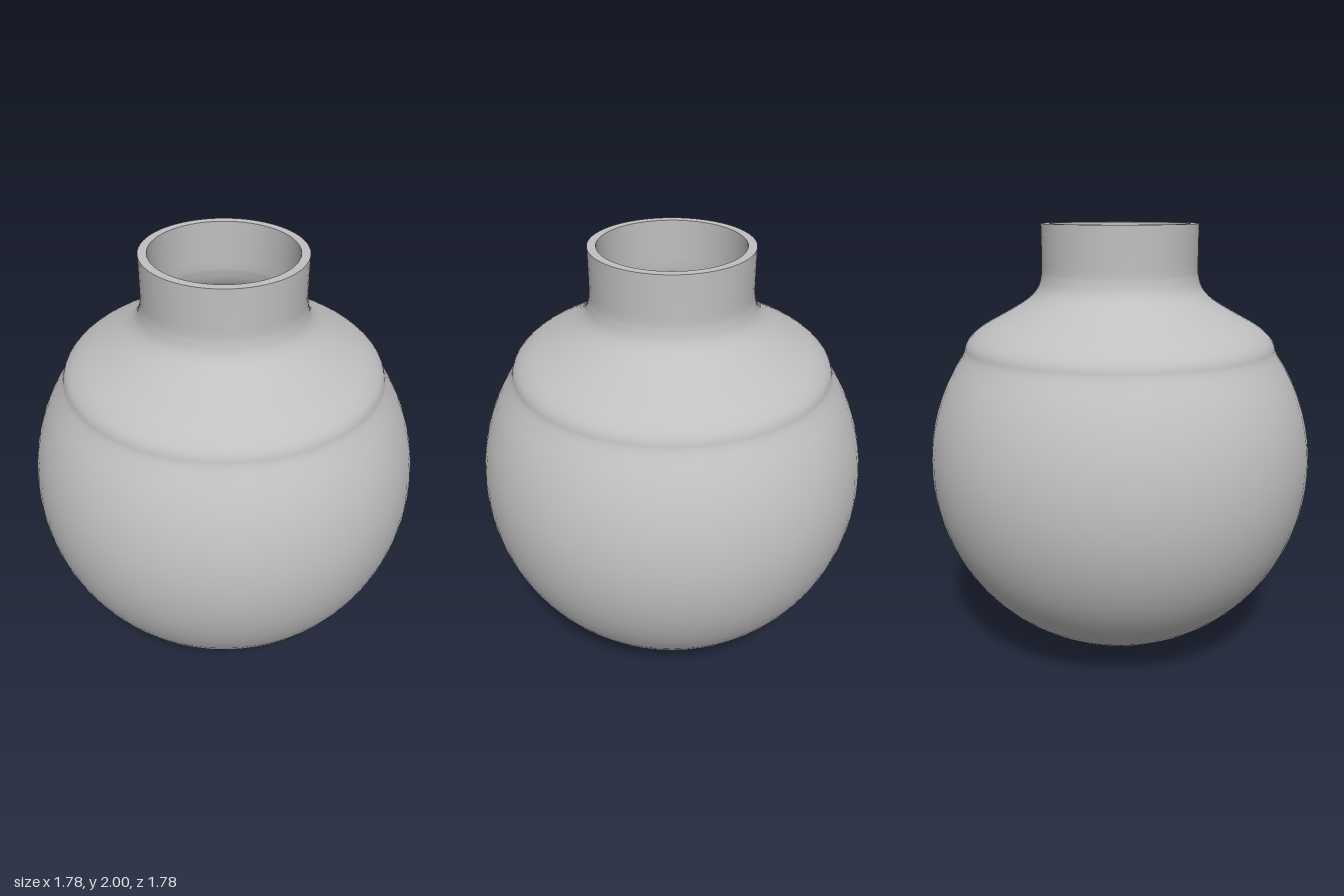
import * as THREE from 'three';

const SEGMENTS = 64;
const CENTRE_Y = 0.9;

// Points up a round belly, from the bottom pole to the height where the shoulder starts
function bellyPoints(radius, topY, steps) {
  const points = [];
  const end = Math.acos((CENTRE_Y - topY) / radius);
  for (let i = 0; i <= steps; i++) {
    const a = (i / steps) * end;
    points.push(new THREE.Vector2(Math.sin(a) * radius, CENTRE_Y - Math.cos(a) * radius));
  }
  points[0].x = 0;
  return points;
}

// Smooth shoulder curve through a few [radius, height] pairs
function shoulderPoints(pairs, steps) {
  const curve = new THREE.SplineCurve(pairs.map(([r, y]) => new THREE.Vector2(r, y)));
  return curve.getPoints(steps);
}

export function createModel() {
  const group = new THREE.Group();
  const grey = new THREE.MeshStandardMaterial({ color: 0xc0c0c0 });
  grey.name = 'grey';

  function addLathe(name, points) {
    const mesh = new THREE.Mesh(new THREE.LatheGeometry(points, SEGMENTS), grey);
    mesh.name = name;
    group.add(mesh);
  }

  // Outer wall: round belly, raised shoulder, straight neck
  const outer = bellyPoints(0.892, 1.415, 28);
  outer[0].y = 0;
  outer.push(
    ...shoulderPoints([
      [0.717, 1.44], [0.7, 1.485], [0.64, 1.54], [0.52, 1.607],
      [0.425, 1.665], [0.375, 1.72], [0.357, 1.785],
    ], 24),
    new THREE.Vector2(0.356, 1.82),
    new THREE.Vector2(0.356, 2),
  );
  addLathe('outerWall', outer);

  // Flat ring closing the wall at the mouth
  addLathe('rim', [new THREE.Vector2(0.356, 2), new THREE.Vector2(0.318, 2)]);

  // Inner wall, drawn downwards so that it faces the hollow
  const inner = bellyPoints(0.852, 1.39, 28);
  inner.push(
    ...shoulderPoints([
      [0.673, 1.43], [0.65, 1.465], [0.6, 1.51], [0.49, 1.573],
      [0.395, 1.633], [0.34, 1.7], [0.319, 1.775],
    ], 24),
    new THREE.Vector2(0.318, 1.82),
    new THREE.Vector2(0.318, 2),
  );
  addLathe('innerWall', inner.reverse());

  return group;
}
